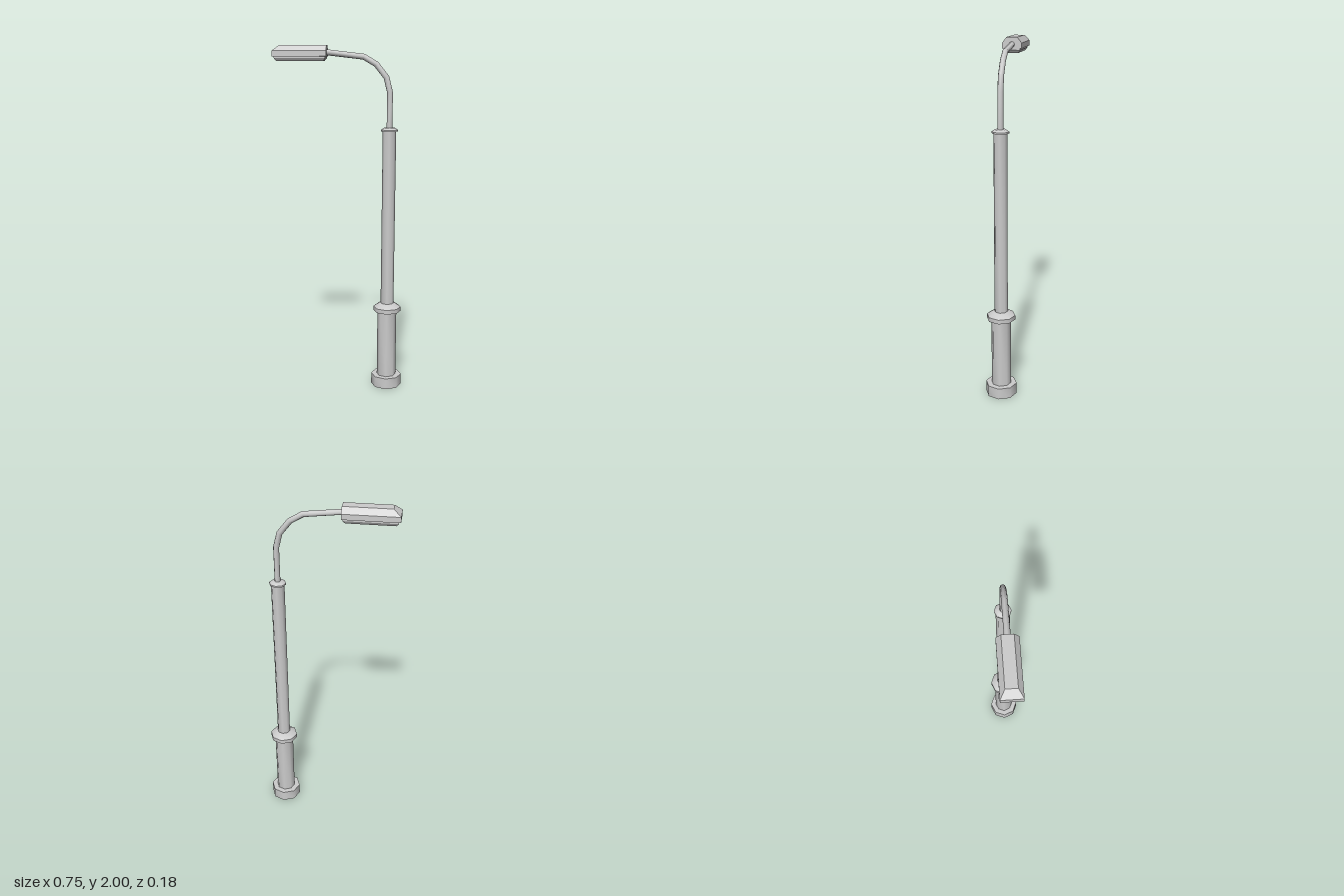
import * as THREE from 'three';
import { toCreasedNormals } from 'three/addons/utils/BufferGeometryUtils.js';

const POLE_X = 0.283;

// Skin a list of equal rings (counter-clockwise seen from the far end), with caps.
function loft(rings, crease) {
  const n = rings[0].length;
  const index = [];
  for (let i = 0; i < rings.length - 1; i++) {
    for (let j = 0; j < n; j++) {
      const a = i * n + j, b = i * n + (j + 1) % n;
      index.push(a, b, b + n, a, b + n, a + n);
    }
  }
  const last = (rings.length - 1) * n;
  for (let j = 1; j < n - 1; j++) {
    index.push(0, j + 1, j);
    index.push(last, last + j, last + j + 1);
  }
  const geometry = new THREE.BufferGeometry();
  geometry.setAttribute('position', new THREE.Float32BufferAttribute(rings.flat(2), 3));
  geometry.setIndex(index);
  return toCreasedNormals(geometry, crease);
}

// Rectangular layer of the lamp: height, x range, half depth.
const layer = ([y, x0, x1, z]) => [[x0, y, z], [x1, y, z], [x1, y, -z], [x0, y, -z]];

// Round rings along a bent path in the xy plane, mitred at each bend.
function pipeRings(path, radius, sides) {
  const points = path.map(([x, y]) => new THREE.Vector2(x, y));
  return points.map((p, i) => {
    const before = p.clone().sub(points[Math.max(i - 1, 0)]).normalize();
    const after = points[Math.min(i + 1, points.length - 1)].clone().sub(p).normalize();
    const t = before.clone().add(after).normalize();
    const stretch = 1 / t.dot(i === 0 ? after : before);
    return Array.from({ length: sides }, (_, k) => {
      const a = (k / sides) * Math.PI * 2;
      const r = radius * Math.cos(a) * stretch;
      return [p.x - t.y * r, p.y + t.x * r, radius * Math.sin(a)];
    });
  });
}

export function createModel() {
  const model = new THREE.Group();
  const grey = new THREE.MeshStandardMaterial({ color: 0xcccccc });
  const openGrey = new THREE.MeshStandardMaterial({ color: 0xcccccc, side: THREE.DoubleSide });

  const add = (name, geometry, material = grey) => {
    const mesh = new THREE.Mesh(geometry, material);
    mesh.name = name;
    model.add(mesh);
    return mesh;
  };

  // Eight-sided turned part around the pole axis; profile is [radius, height].
  const turned = (name, profile, material) => {
    const points = profile.map(([r, y]) => new THREE.Vector2(r, y));
    const geometry = toCreasedNormals(new THREE.LatheGeometry(points, 8), 0.85);
    add(name, geometry, material).position.x = POLE_X;
  };

  // Pole, from the hollow foot up to the cap
  turned('foot', [[0.089, 0], [0.089, 0.065], [0.056, 0.065]], openGrey);
  turned('lowerColumn', [[0.056, 0.065], [0.056, 0.465]]);
  turned('collar', [[0.056, 0.465], [0.081, 0.465], [0.081, 0.49], [0.046, 0.513], [0.038, 0.513]]);
  turned('shaft', [[0.038, 0.513], [0.038, 1.525]]);
  turned('cap', [[0.038, 1.525], [0.047, 1.525], [0.047, 1.534], [0.032, 1.545], [0, 1.545]]);

  // Bent arm reaching over to the lamp
  const armPath = [
    [POLE_X, 1.54], [POLE_X, 1.742], [0.262, 1.824],
    [0.205, 1.895], [0.135, 1.936], [-0.08, 1.961],
  ];
  add('arm', loft(pipeRings(armPath, 0.016, 8), 0.85));

  // Lamp housing with a sloped top, and the shallow light panel below it
  const housing = [
    [1.938, -0.373, -0.07, 0.055],
    [1.968, -0.373, -0.07, 0.055],
    [2.0, -0.333, -0.07, 0.03],
  ];
  add('lampHousing', loft(housing.map(layer), 0.3));
  const panel = [
    [1.912, -0.35, -0.088, 0.034],
    [1.928, -0.362, -0.076, 0.045],
    [1.938, -0.362, -0.076, 0.045],
  ];
  add('lightPanel', loft(panel.map(layer), 0.3));

  return model;
}
